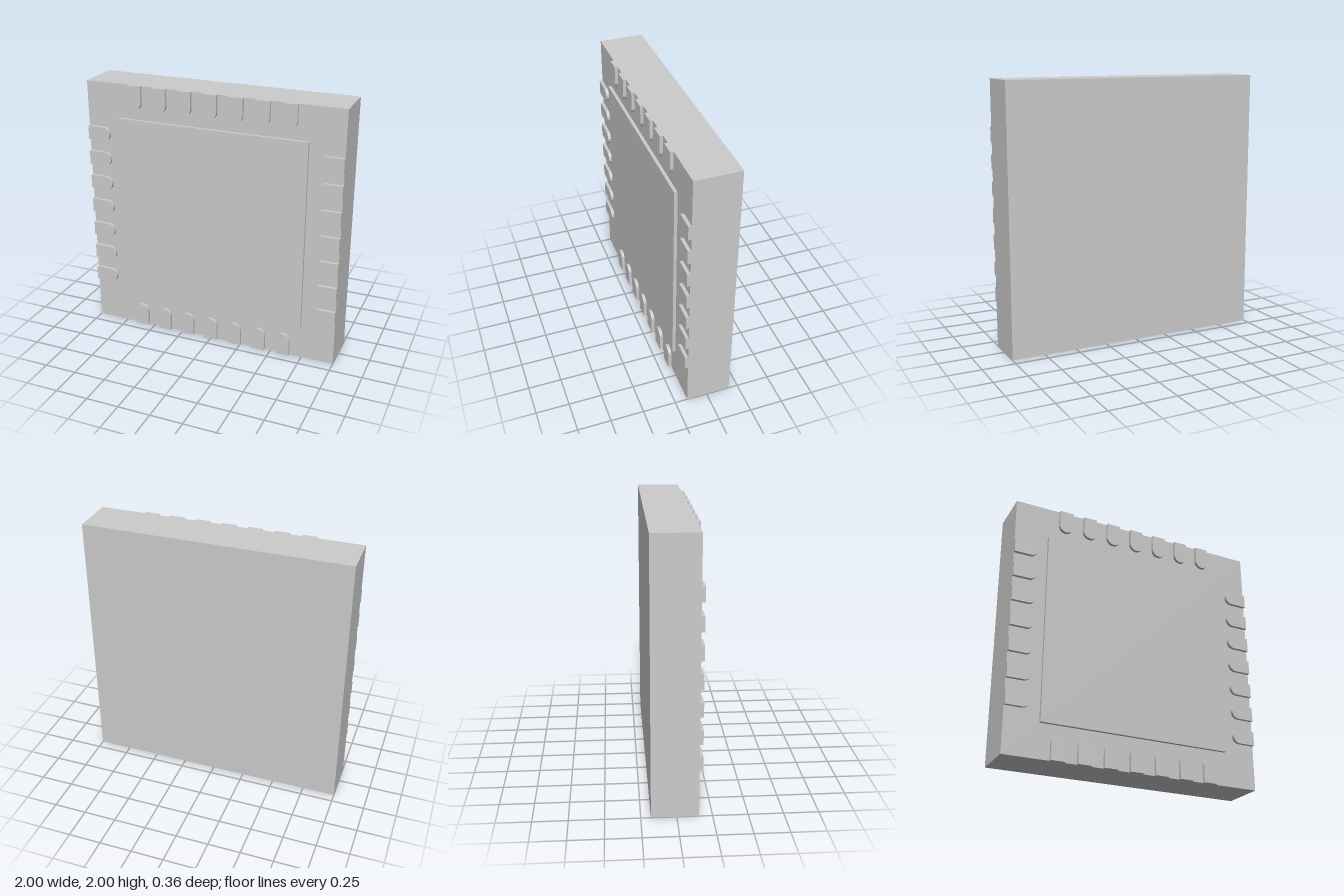
import * as THREE from 'three';

const material = new THREE.MeshStandardMaterial({ color: 0xcccccc });
const FRONT = 0.156; // front face of the body
const DEPTH = 0.024; // how far the pads stand proud

// Contact outline: square end at the body edge (y = 0), round end pointing inward (+y)
function contactGeometry(width, length) {
  const r = width / 2;
  const shape = new THREE.Shape();
  shape.moveTo(-r, 0);
  shape.lineTo(r, 0);
  shape.lineTo(r, length - r);
  shape.absarc(0, length - r, r, 0, Math.PI, false);
  shape.closePath();
  return new THREE.ExtrudeGeometry(shape, { depth: DEPTH, bevelEnabled: false, curveSegments: 24 });
}

export function createModel() {
  const model = new THREE.Group();
  model.name = 'chipPackage';

  // Square body
  const body = new THREE.Mesh(new THREE.BoxGeometry(2, 2, FRONT + 0.18), material);
  body.name = 'body';
  body.position.set(0, 1, (FRONT - 0.18) / 2);
  model.add(body);

  // Large central pad
  const centrePad = new THREE.Mesh(new THREE.BoxGeometry(1.48, 1.48, DEPTH), material);
  centrePad.name = 'centrePad';
  centrePad.position.set(0, 1, FRONT + DEPTH / 2);
  model.add(centrePad);

  // Seven contacts along each edge, one row turned to all four sides
  const geometry = contactGeometry(0.108, 0.181);
  ['bottom', 'left', 'top', 'right'].forEach((side, i) => {
    const row = new THREE.Group();
    row.name = side + 'Contacts';
    row.position.set(0, 1, FRONT);
    row.rotation.z = (i * Math.PI) / 2;
    for (let k = -3; k <= 3; k++) {
      const contact = new THREE.Mesh(geometry, material);
      contact.name = 'contact';
      contact.position.set(k * 0.2, -1, 0);
      row.add(contact);
    }
    model.add(row);
  });

  return model;
}
